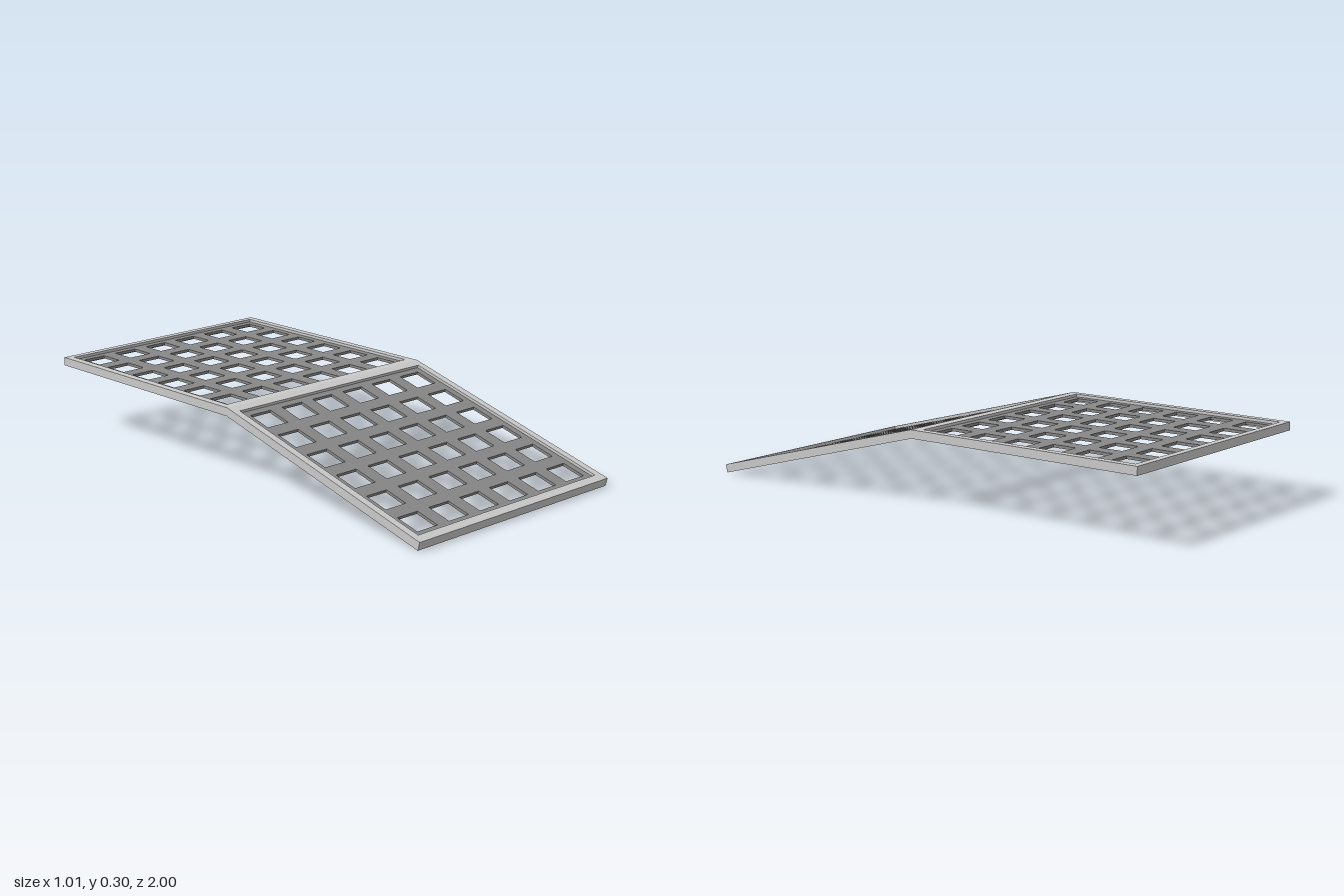
import * as THREE from 'three';

const ANGLE = THREE.MathUtils.degToRad(15); // slope of the ramp
const THICK = 0.033;       // frame thickness
const HALF_WIDTH = 0.504;
const CELL = 0.158, COUNT = 6, HOLE = 0.1;
const OPENING = CELL * COUNT;
const CENTRE = 0.511;      // opening centre, measured from the ridge
const RAMP_LENGTH = 1.023;

const frameMaterial = new THREE.MeshStandardMaterial({ color: 0xcccccc });
const gridMaterial = new THREE.MeshStandardMaterial({ color: 0x888888 });

function rectangle(target, x0, y0, x1, y1) {
  target.moveTo(x0, y0);
  target.lineTo(x1, y0);
  target.lineTo(x1, y1);
  target.lineTo(x0, y1);
  target.closePath();
  return target;
}

// Extrudes a plan drawn in x and z downwards from y = 0
function plate(shape, depth) {
  const geometry = new THREE.ExtrudeGeometry(shape, { depth, bevelEnabled: false });
  return geometry.rotateX(Math.PI / 2);
}

// Rim around one panel, mitred where it meets the other panel at the ridge
function frameGeometry(length) {
  const shape = rectangle(new THREE.Shape(), -HALF_WIDTH, 0, HALF_WIDTH, length);
  const h = OPENING / 2;
  shape.holes.push(rectangle(new THREE.Path(), -h, CENTRE - h, h, CENTRE + h));
  const geometry = plate(shape, THICK);
  const p = geometry.attributes.position;
  for (let i = 0; i < p.count; i++) {
    if (Math.abs(p.getZ(i)) < 1e-5) p.setZ(i, -p.getY(i) * Math.tan(ANGLE / 2));
  }
  geometry.computeVertexNormals();
  return geometry;
}

// Thin plate with square holes, recessed from both faces of the frame
function gridGeometry() {
  const h = OPENING / 2, r = HOLE / 2;
  const shape = rectangle(new THREE.Shape(), -h, CENTRE - h, h, CENTRE + h);
  for (let i = 0; i < COUNT; i++) {
    for (let j = 0; j < COUNT; j++) {
      const x = (i - (COUNT - 1) / 2) * CELL;
      const z = CENTRE + (j - (COUNT - 1) / 2) * CELL;
      shape.holes.push(rectangle(new THREE.Path(), x - r, z - r, x + r, z + r));
    }
  }
  return plate(shape, THICK / 3).translate(0, -THICK / 3, 0);
}

function panel(name, length) {
  const group = new THREE.Group();
  group.name = name;
  const frame = new THREE.Mesh(frameGeometry(length), frameMaterial);
  frame.name = name + 'Frame';
  const grid = new THREE.Mesh(gridGeometry(), gridMaterial);
  grid.name = name + 'Grid';
  group.add(frame, grid);
  return group;
}

export function createModel() {
  const model = new THREE.Group();
  model.name = 'gratedRamp';

  // Ridge line shared by both panels
  const ridgeY = RAMP_LENGTH * Math.sin(ANGLE) + THICK * Math.cos(ANGLE);
  const ridgeZ = 1 - RAMP_LENGTH * Math.cos(ANGLE);

  const ramp = panel('ramp', RAMP_LENGTH);
  ramp.rotation.x = ANGLE;
  const platform = panel('platform', 1 + ridgeZ);
  platform.rotation.y = Math.PI;

  for (const part of [ramp, platform]) {
    part.position.set(0, ridgeY, ridgeZ);
    model.add(part);
  }
  return model;
}
